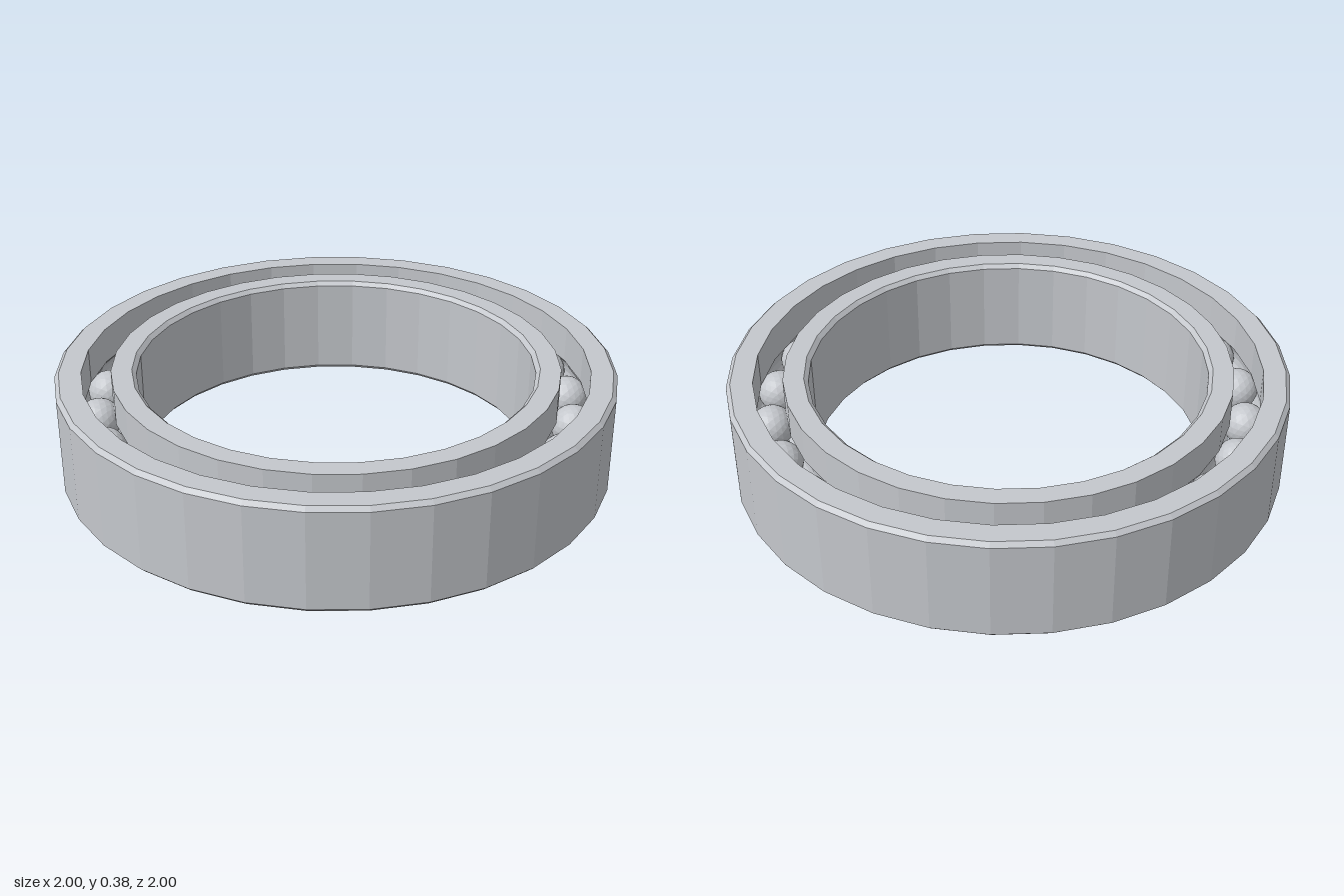
import * as THREE from 'three';

const HEIGHT = 0.385, MID = HEIGHT / 2, CHAMFER = 0.015;
const SIDES = 32, BALLS = 24;
const PITCH = 0.855, BALL_RADIUS = 0.078, GROOVE_RADIUS = 0.08;

// Split all faces so that each one has its own flat normal
function faceted(geometry) {
  const flat = geometry.index ? geometry.toNonIndexed() : geometry;
  flat.computeVertexNormals();
  return flat;
}

// Ring profile: chamfered on the free wall, with a rounded ball groove in the wall facing the balls
function ringGeometry(freeRadius, trackRadius) {
  const side = Math.sign(freeRadius - trackRadius);
  const c = side * CHAMFER;
  const points = [
    [trackRadius, 0],
    [freeRadius - c, 0],
    [freeRadius, CHAMFER],
    [freeRadius, HEIGHT - CHAMFER],
    [freeRadius - c, HEIGHT],
    [trackRadius, HEIGHT],
  ];
  const half = Math.acos(Math.abs(trackRadius - PITCH) / GROOVE_RADIUS);
  const steps = 6;
  for (let i = 0; i <= steps; i++) {
    const a = half * (1 - (2 * i) / steps);
    points.push([PITCH + side * GROOVE_RADIUS * Math.cos(a), MID + GROOVE_RADIUS * Math.sin(a)]);
  }
  points.push([trackRadius, 0]);
  // Keep the outline counter-clockwise so that faces point outward
  if (side < 0) points.reverse();
  return faceted(new THREE.LatheGeometry(points.map(([x, y]) => new THREE.Vector2(x, y)), SIDES));
}

export function createModel() {
  const model = new THREE.Group();
  model.name = 'ballBearing';
  const steel = new THREE.MeshStandardMaterial({ color: 0xc4c7cc });
  steel.name = 'steel';

  // Outer and inner races
  const outerRing = new THREE.Mesh(ringGeometry(1, 0.906), steel);
  outerRing.name = 'outerRing';
  const innerRing = new THREE.Mesh(ringGeometry(0.713, 0.802), steel);
  innerRing.name = 'innerRing';
  model.add(outerRing, innerRing);

  // Balls evenly spaced between the races
  const balls = new THREE.Group();
  balls.name = 'balls';
  const ballGeometry = faceted(new THREE.IcosahedronGeometry(BALL_RADIUS, 3));
  for (let i = 0; i < BALLS; i++) {
    const angle = (i / BALLS) * Math.PI * 2;
    const ball = new THREE.Mesh(ballGeometry, steel);
    ball.name = 'ball';
    ball.position.set(PITCH * Math.cos(angle), MID, PITCH * Math.sin(angle));
    balls.add(ball);
  }
  model.add(balls);
  return model;
}
